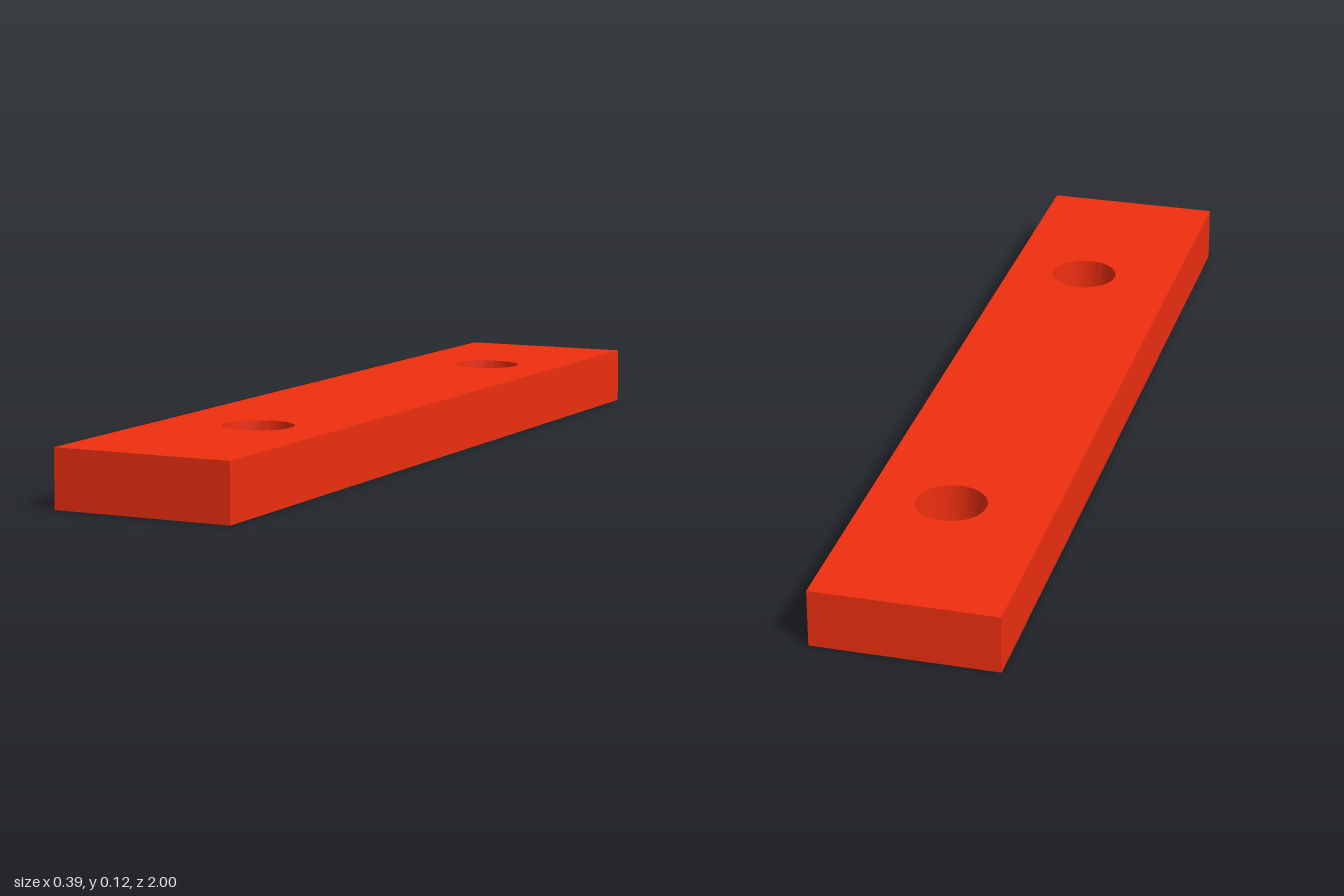
import * as THREE from 'three';
import { toCreasedNormals } from 'three/addons/utils/BufferGeometryUtils.js';

const WIDTH = 0.394, LENGTH = 2, THICKNESS = 0.125;
const HOLE_RADIUS = 0.075, HOLE_X = 0.019, HOLE_Z = [-0.593, 0.559];

export function createModel() {
  const group = new THREE.Group();
  group.name = 'mountingBar';

  // Rectangular outline; shape y becomes -z once laid flat
  const w = WIDTH / 2, l = LENGTH / 2;
  const outline = new THREE.Shape();
  outline.moveTo(-w, -l).lineTo(w, -l).lineTo(w, l).lineTo(-w, l).closePath();

  // Two round through holes
  for (const z of HOLE_Z) {
    outline.holes.push(new THREE.Path().absarc(HOLE_X, -z, HOLE_RADIUS, 0, Math.PI * 2, true));
  }

  // Flat plate with sharp edges and smooth hole walls
  const extruded = new THREE.ExtrudeGeometry(outline, {
    depth: THICKNESS, bevelEnabled: false, curveSegments: 32,
  });
  extruded.rotateX(-Math.PI / 2);
  const plate = new THREE.Mesh(
    toCreasedNormals(extruded, Math.PI / 6),
    new THREE.MeshStandardMaterial({ color: 0xf02f0f }),
  );
  plate.name = 'drilledPlate';
  group.add(plate);
  return group;
}
